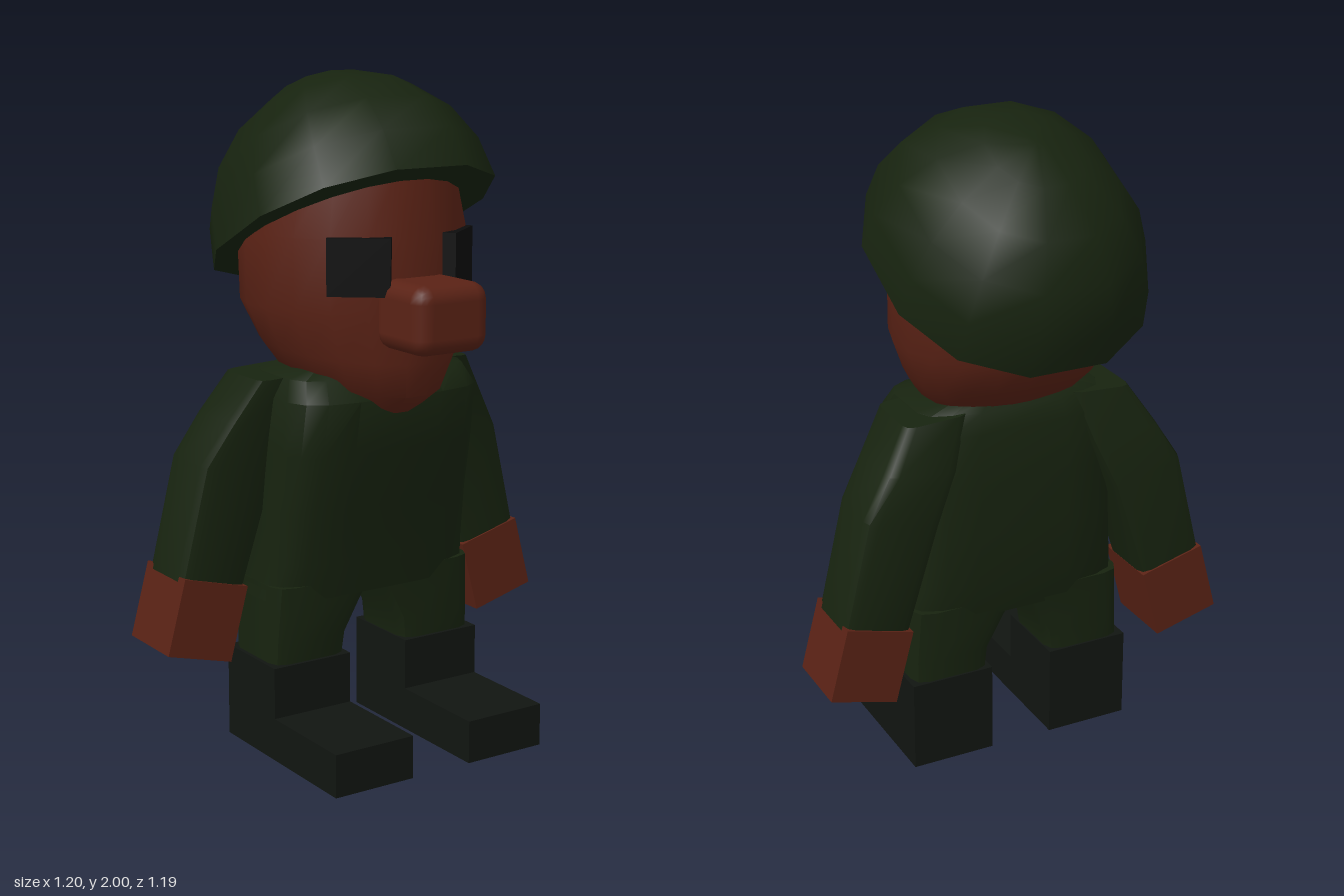
import * as THREE from 'three';
import { toCreasedNormals } from 'three/addons/utils/BufferGeometryUtils.js';
import { RoundedBoxGeometry } from 'three/addons/geometries/RoundedBoxGeometry.js';

const paint = (color) => new THREE.MeshStandardMaterial({ color });

// One closed cross-section: a superellipse between xa..xb and z0..z1
// (power 2 = oval, higher = boxier). Optional slopes tilt its height.
function ring({ y, x, z, mid = (z[0] + z[1]) / 2, power = 2, slopeX = 0, slopeZ = 0 }, n) {
  const x0 = Math.min(...x), x1 = Math.max(...x), cx = (x0 + x1) / 2;
  const e = 2 / power;
  const pts = [];
  for (let i = 0; i < n; i++) {
    const a = ((i + 0.5) / n) * Math.PI * 2, c = Math.cos(a), s = Math.sin(a);
    const px = cx + Math.sign(c) * Math.abs(c) ** e * (x1 - x0) / 2;
    const pz = mid + Math.sign(s) * Math.abs(s) ** e * (s > 0 ? z[1] - mid : mid - z[0]);
    pts.push([px, y + slopeX * (px - cx) + slopeZ * pz, pz]);
  }
  return pts;
}

// Skin between cross-sections listed bottom to top, capped at both ends
function loft(sections, n, crease = 0.8) {
  const rings = sections.map((s) => ring(s, n));
  const pos = [], idx = [];
  rings.forEach((r) => r.forEach((p) => pos.push(...p)));
  for (let j = 0; j < rings.length - 1; j++) {
    for (let i = 0; i < n; i++) {
      const a = j * n + i, b = j * n + (i + 1) % n;
      idx.push(a, a + n, b, b, a + n, b + n);
    }
  }
  [rings[0], rings[rings.length - 1]].forEach((r, top) => {
    const c = pos.length / 3, base = top ? (rings.length - 1) * n : 0;
    pos.push(...[0, 1, 2].map((k) => r.reduce((t, p) => t + p[k], 0) / n));
    for (let i = 0; i < n; i++) {
      const a = base + i, b = base + (i + 1) % n;
      idx.push(c, ...(top ? [b, a] : [a, b]));
    }
  });
  const g = new THREE.BufferGeometry();
  g.setAttribute('position', new THREE.Float32BufferAttribute(pos, 3));
  g.setIndex(idx);
  return toCreasedNormals(g, crease);
}

export function createModel() {
  const model = new THREE.Group();
  const figure = new THREE.Group();
  figure.name = 'figure';
  model.add(figure);

  const skin = paint(0x5a2215), cloth = paint(0x17230f);
  const leather = paint(0x111511), black = paint(0x0c0c0c);
  const add = (name, geometry, material, x = 0, y = 0, z = 0) => {
    const m = new THREE.Mesh(geometry, material);
    m.name = name;
    m.position.set(x, y, z);
    figure.add(m);
    return m;
  };
  const wide = (y, w, z0, z1, extra) => ({ y, x: [-w, w], z: [z0, z1], ...extra });

  // Jacket and hips
  const boxy = { power: 4 };
  add('torso', loft([
    wide(0.47, 0.355, -0.12, 0.155, boxy),
    wide(0.58, 0.345, -0.14, 0.175, boxy),
    wide(0.75, 0.335, -0.15, 0.21, boxy),
    wide(0.92, 0.33, -0.15, 0.25, boxy),
    wide(1.08, 0.325, -0.14, 0.275, boxy),
    wide(1.14, 0.3, -0.12, 0.23, boxy),
    wide(1.17, 0.2, -0.09, 0.15, boxy),
  ], 16), cloth);

  // Head, with the jaw sloping down toward the chin
  const face = { mid: 0 };
  add('head', loft([
    wide(1.1, 0.13, -0.06, 0.27, { mid: 0.12, slopeZ: -0.25 }),
    wide(1.15, 0.235, -0.17, 0.345, { ...face, slopeZ: -0.17 }),
    wide(1.22, 0.285, -0.24, 0.36, { ...face, slopeZ: -0.08 }),
    wide(1.34, 0.335, -0.31, 0.36, face),
    wide(1.55, 0.335, -0.34, 0.355, face),
    wide(1.75, 0.29, -0.3, 0.32, face),
  ], 20), skin);

  add('nose', new RoundedBoxGeometry(0.25, 0.2, 0.24, 2, 0.05), skin, 0, 1.34, 0.412);

  // Domed helmet tipped backward
  const dome = [[1, 0], [0.96, 0.28], [0.84, 0.54], [0.63, 0.77], [0.34, 0.94], [0.06, 1]];
  const helmet = add('helmet', loft(dome.map(([r, h]) =>
    wide(0.45 * h, 0.4 * r, -0.46 * r, 0.47 * r, { power: 2.25 })), 12, 0.75), cloth, 0, 1.55, 0);
  helmet.rotation.x = -0.46;

  // L-shaped boot side, drawn with forward along the shape's x
  const bootSide = new THREE.Shape([
    [-0.12, 0], [0.48, 0], [0.48, 0.13], [0.15, 0.13], [0.15, 0.285], [-0.12, 0.285],
  ].map((p) => new THREE.Vector2(...p)));
  const bootGeometry = new THREE.ExtrudeGeometry(bootSide, { depth: 0.265, bevelEnabled: false });
  bootGeometry.translate(0, 0, -0.1325).rotateY(-Math.PI / 2);

  for (const s of [1, -1]) {
    const side = s > 0 ? 'left' : 'right';

    const eye = add(side + 'Eye', new THREE.BoxGeometry(0.18, 0.165, 0.04), black, s * 0.17, 1.475, 0.3);
    eye.rotation.y = s * 0.67;

    // Sleeve bending out at the elbow, sloped to meet the hand
    const sleeve = (y, inner, outer, z0, z1, slope) =>
      ({ y, x: [s * inner, s * outer], z: [z0, z1], power: 7, slopeX: s * slope });
    add(side + 'Sleeve', loft([
      sleeve(0.53, 0.395, 0.605, -0.18, 0.04, 0.25),
      sleeve(0.86, 0.29, 0.525, -0.18, 0.045, 0.25),
      sleeve(1.0, 0.22, 0.45, -0.16, 0.07, 0.1),
      sleeve(1.14, 0.17, 0.37, -0.12, 0.1, -0.05),
    ], 12), cloth);

    const hand = add(side + 'Hand', new THREE.BoxGeometry(0.215, 0.23, 0.23), skin, s * 0.525, 0.432, -0.07);
    hand.rotation.z = s * 0.26;

    // Trouser leg, spreading away from the crotch
    const leg = (y, inner, outer, z0, z1) =>
      ({ y, x: [s * inner, s * outer], z: [z0, z1], power: 6 });
    add(side + 'Leg', loft([
      leg(0.27, 0.105, 0.355, -0.115, 0.14),
      leg(0.35, 0.095, 0.355, -0.115, 0.145),
      leg(0.52, 0, 0.35, -0.125, 0.155),
    ], 12), cloth);

    add(side + 'Boot', bootGeometry, leather, s * 0.233, 0, 0);
  }

  // The figure stands turned toward its left
  figure.rotation.y = THREE.MathUtils.degToRad(43.5);
  figure.position.set(0.005, 0, -0.005);
  return model;
}
